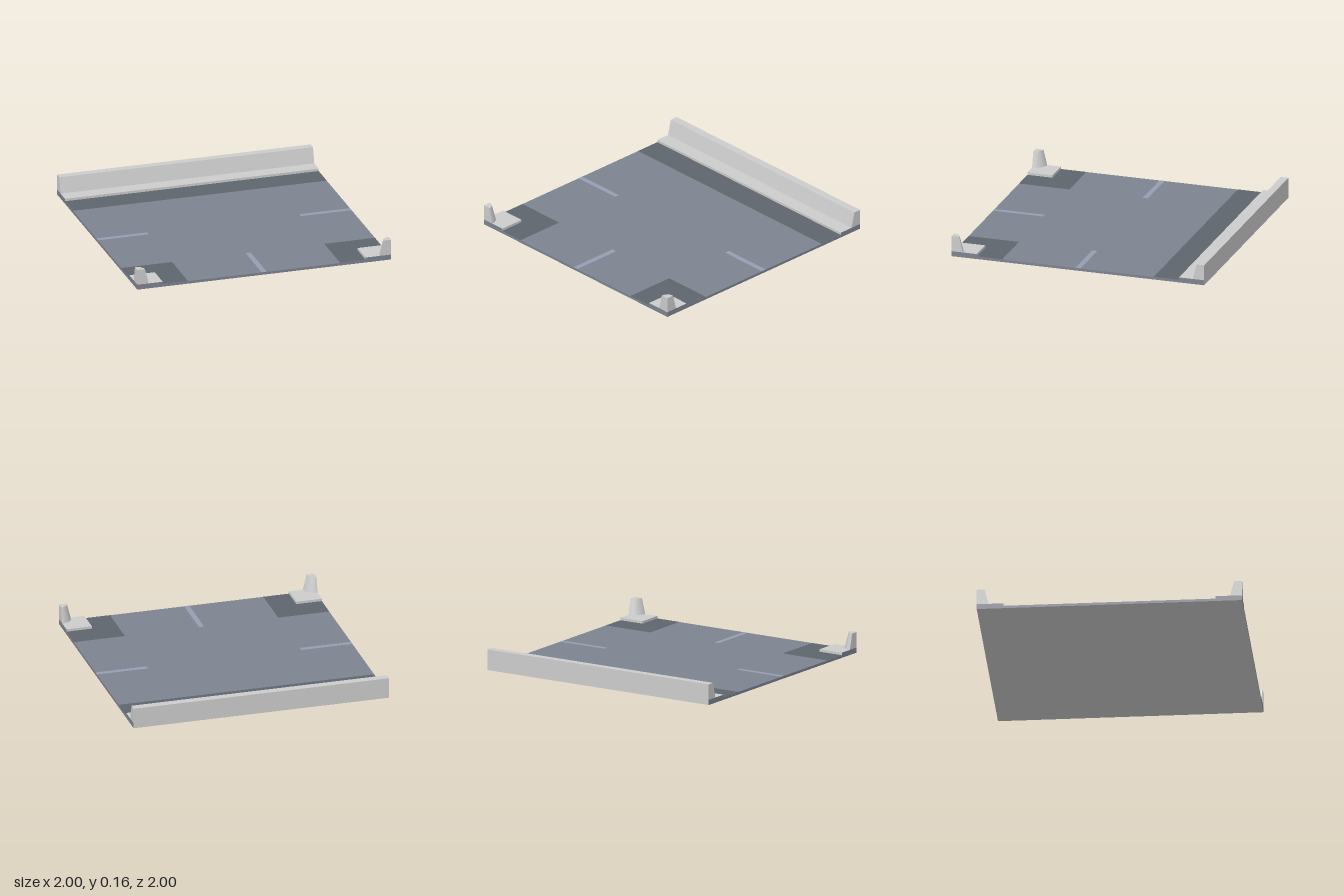
import * as THREE from 'three';

const paint = (color) => new THREE.MeshStandardMaterial({ color });

export function createModel() {
  const model = new THREE.Group();
  const grey = paint(0xcccccc);
  const slate = paint(0x7d8390);
  const dark = paint(0x5d656c);
  const line = paint(0x969db2);
  const greyTwoSided = paint(0xcccccc);
  greyTwoSided.side = THREE.DoubleSide;

  const add = (parent, name, geometry, material, x = 0, y = 0, z = 0) => {
    const mesh = new THREE.Mesh(geometry, material);
    mesh.name = name;
    mesh.position.set(x, y, z);
    parent.add(mesh);
    return mesh;
  };

  // Flat painted area on the road, given by its x and z limits
  const patch = (name, x0, x1, z0, z1, material, y) => {
    const g = new THREE.PlaneGeometry(x1 - x0, z1 - z0).rotateX(-Math.PI / 2);
    add(model, name, g, material, (x0 + x1) / 2, y, (z0 + z1) / 2);
  };

  // Road slab: grey underside and back; box sides run +x, -x, +y, -y, +z, -z
  add(model, 'roadSlab', new THREE.BoxGeometry(2, 0.02, 2),
    [slate, slate, slate, grey, slate, grey], 0, 0.01, 0);

  // Darker road shoulders beside the kerbs
  patch('backShoulder', -1, 1, -0.8, -0.6, dark, 0.0208);
  patch('leftCornerShoulder', 0.6, 1, 0.6, 1, dark, 0.0208);
  patch('rightCornerShoulder', -1, -0.6, 0.6, 1, dark, 0.0208);

  // Lane markings
  patch('leftMarking', 0.6, 1, -0.02, 0.02, line, 0.0212);
  patch('rightMarking', -1, -0.6, -0.02, 0.02, line, 0.0212);
  patch('frontMarking', -0.02, 0.02, 0.6, 1, line, 0.0212);

  // Back kerb
  add(model, 'backKerb', new THREE.BoxGeometry(2, 0.02, 0.2),
    [slate, slate, grey, grey, grey, grey], 0, 0.03, -0.9);

  // Back wall with a sloped inner face, extruded along x
  const profile = new THREE.Shape([
    new THREE.Vector2(1, 0.04), new THREE.Vector2(1, 0.16),
    new THREE.Vector2(0.94, 0.16), new THREE.Vector2(0.91, 0.04),
  ]);
  const wall = new THREE.ExtrudeGeometry(profile, { depth: 2, bevelEnabled: false });
  wall.rotateY(Math.PI / 2).translate(-1, 0, 0);
  add(model, 'backWall', wall, grey);

  // Front corners: kerb block with a quarter-cone post on the outer corner
  const cut = new THREE.Shape([
    new THREE.Vector2(-0.09, 0), new THREE.Vector2(0, 0),
    new THREE.Vector2(0, 0.12), new THREE.Vector2(-0.06, 0.12),
  ]);
  for (const [name, turn] of [['leftCorner', 0], ['rightCorner', -Math.PI / 2]]) {
    const corner = new THREE.Group();
    corner.name = name;
    corner.rotation.y = turn;
    add(corner, 'kerbBlock', new THREE.BoxGeometry(0.2, 0.02, 0.2),
      [slate, grey, grey, grey, slate, grey], 0.9, 0.03, 0.9);
    add(corner, 'post',
      new THREE.CylinderGeometry(0.06, 0.09, 0.12, 10, 1, false, Math.PI, Math.PI / 2),
      grey, 1, 0.1, 1);
    add(corner, 'postFace', new THREE.ShapeGeometry(cut), greyTwoSided, 1, 0.04, 1);
    add(corner, 'postSideFace', new THREE.ShapeGeometry(cut).scale(-1, 1, 1).rotateY(Math.PI / 2),
      greyTwoSided, 1, 0.04, 1);
    model.add(corner);
  }

  return model;
}
